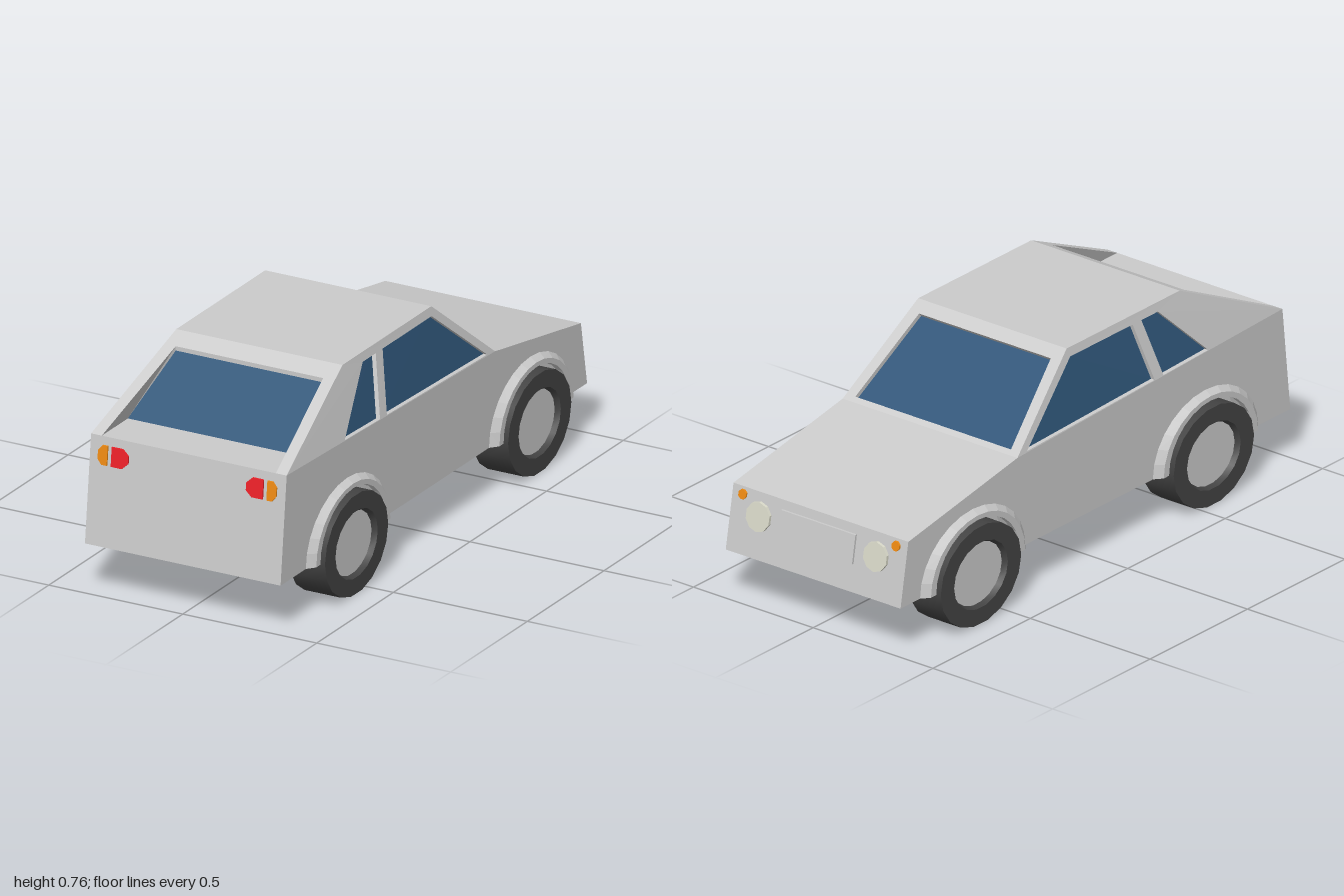
import * as THREE from 'three';
import { toCreasedNormals } from 'three/addons/utils/BufferGeometryUtils.js';

const GREY = 0xcccccc, GLASS = 0x2f5578, TYRE = 0x444444, RED = 0xee2028, AMBER = 0xee8a12, LAMP = 0xd8d8c8;
const BASE = 0.176, BELT_W = 0.365, ROOF_W = 0.31;
const ARCHES = [-0.63, 0.565];

const material = (color, side = THREE.DoubleSide) => new THREE.MeshStandardMaterial({ color, side, flatShading: true });

function add(group, name, geometry, color) {
  const mesh = new THREE.Mesh(geometry, material(color));
  mesh.name = name;
  group.add(mesh);
  return mesh;
}

// Flat outline with holes, placed in space by a rule (u, v) -> [x, y, z]
function panel(outline, holes, place) {
  const toV = (pts) => pts.map(([u, v]) => new THREE.Vector2(u, v));
  const shape = new THREE.Shape(toV(outline));
  for (const h of holes) shape.holes.push(new THREE.Path(toV(h)));
  const geo = new THREE.ShapeGeometry(shape);
  const p = geo.attributes.position;
  for (let i = 0; i < p.count; i++) p.setXYZ(i, ...place(p.getX(i), p.getY(i)));
  geo.computeVertexNormals();
  return geo;
}

// Skin stretched over a list of rings with equal point counts
function loft(rings, closed = false) {
  const n = rings[0].length, index = [];
  for (let r = 0; r < rings.length - 1; r++) {
    for (let i = 0; i < (closed ? n : n - 1); i++) {
      const a = r * n + i, b = r * n + (i + 1) % n;
      index.push(a, b, b + n, a, b + n, a + n);
    }
  }
  const geo = new THREE.BufferGeometry();
  geo.setAttribute('position', new THREE.Float32BufferAttribute(rings.flat(2), 3));
  geo.setIndex(index);
  geo.computeVertexNormals();
  return geo;
}

// Recessed pane with its reveal
function windowPane(group, name, hole, place, inset) {
  const sunk = (u, v) => place(u, v).map((c, i) => c + inset[i]);
  add(group, name + 'Reveal', loft([hole.map((p) => place(...p)), hole.map((p) => sunk(...p))], true), GREY);
  add(group, name + 'Glass', panel(hole, [], sunk), GLASS);
}

// Plate that follows a sloping end panel
function plate(group, name, pts, zAt, depth, color) {
  const shape = new THREE.Shape(pts.map(([x, y]) => new THREE.Vector2(x, y)));
  const geo = new THREE.ExtrudeGeometry(shape, { depth, bevelEnabled: false });
  const p = geo.attributes.position;
  for (let i = 0; i < p.count; i++) p.setZ(i, p.getZ(i) - depth / 2 + zAt(p.getY(i)));
  geo.computeVertexNormals();
  add(group, name, geo, color);
}

const disc = (cx, cy, r, n) => Array.from({ length: n }, (_, i) => {
  const a = (i + 0.5) / n * Math.PI * 2;
  return [cx + r * Math.cos(a), cy + r * Math.sin(a)];
});

// Half ellipse over a wheel, as [z, y]
const arch = (c, rz, ry, n = 14) => Array.from({ length: n + 1 }, (_, i) => {
  const a = Math.PI * (1 - i / n);
  return [c + rz * Math.cos(a), BASE + ry * Math.sin(a)];
});

function addSide(group, s) {
  const side = new THREE.Group();
  side.name = s > 0 ? 'leftSide' : 'rightSide';
  group.add(side);

  // Lower side with arch cut-outs
  const lower = [[-1, BASE], ...ARCHES.flatMap((c) => arch(c, 0.27, 0.224)),
    [1, BASE], [0.96, 0.547], [-0.4, 0.5], [-0.96, 0.4]];
  add(side, 'lowerSide', panel(lower, [], (z, y) => [s * BELT_W, y, z]), GREY);

  // Upper side leaning inwards, with two windows
  const belt = (z) => 0.5 + 0.047 * (z + 0.4) / 1.36;
  const lean = (z, y) => [s * (BELT_W - (BELT_W - ROOF_W) * (y - belt(z)) / (0.76 - belt(z))), y, z];
  const rearWin = [[0.58, 0.536], [0.38, 0.73], [0.295, 0.73], [0.35, 0.528]];
  const doorWin = [[0.305, 0.527], [0.25, 0.73], [-0.07, 0.73], [-0.35, 0.506]];
  add(side, 'upperSide', panel([[0.96, 0.547], [0.5, 0.76], [-0.08, 0.76], [-0.4, 0.5]], [rearWin, doorWin], lean), GREY);
  windowPane(side, 'rearSideWindow', rearWin, lean, [-s * 0.015, 0, 0]);
  windowPane(side, 'doorWindow', doorWin, lean, [-s * 0.015, 0, 0]);

  ARCHES.forEach((c, i) => {
    const end = i ? 'rear' : 'front';
    // Flared lip and wheel well
    const ring = (rz, ry, x) => arch(c, rz, ry).map(([z, y]) => [s * x, y, z]);
    add(side, end + 'Flare', loft([ring(0.27, 0.224, BELT_W), ring(0.242, 0.208, 0.388),
      ring(0.215, 0.192, 0.388), ring(0.215, 0.192, BELT_W)]), GREY);
    add(side, end + 'WheelWell', loft([ring(0.27, 0.224, BELT_W), ring(0.27, 0.224, 0.262)]), GREY);
    add(side, end + 'WellPlate', panel(arch(c, 0.27, 0.224), [], (z, y) => [s * 0.262, y, z]), GREY);

    // Wheel
    const wheel = new THREE.Group();
    wheel.name = end + 'Wheel';
    const profile = [[0.108, -0.0675], [0.175, -0.0675], [0.175, 0.0675], [0.117, 0.0675], [0.106, 0.045]];
    const tyre = new THREE.LatheGeometry(profile.map(([r, h]) => new THREE.Vector2(r, h)), 18);
    const tyreMesh = add(wheel, 'tyre', toCreasedNormals(tyre.rotateZ(-Math.PI / 2), 0.6), TYRE);
    tyreMesh.material.flatShading = false;
    add(wheel, 'rim', new THREE.CylinderGeometry(0.109, 0.109, 0.1, 18).rotateZ(-Math.PI / 2), GREY);
    wheel.scale.z = 1.18;
    wheel.position.set(s * 0.3325, 0.175, c);
    if (s < 0) wheel.rotation.y = Math.PI;
    side.add(wheel);
  });
}

export function createModel() {
  const car = new THREE.Group();
  car.name = 'car';

  // Full-width panels between two [halfWidth, y, z] edges
  const span = (name, color, ...edges) =>
    add(car, name, loft(edges.map(([w, y, z]) => [[-w, y, z], [w, y, z]])), color);
  span('rearPanel', GREY, [BELT_W, BASE, 1], [BELT_W, 0.547, 0.96]);
  span('roof', GREY, [ROOF_W, 0.76, 0.5], [ROOF_W, 0.76, -0.08]);
  span('bonnet', GREY, [BELT_W, 0.5, -0.4], [BELT_W, 0.4, -0.96]);
  span('frontPanel', GREY, [BELT_W, 0.4, -0.96], [BELT_W, BASE, -1]);

  // Rear pillars framing a sunken window and short deck
  const slope = (x, z) => [x, 0.547 + 0.213 * (0.96 - z) / 0.46, z];
  add(car, 'rearPillars', panel([[-0.365, 0.96], [-0.31, 0.5], [0.31, 0.5], [0.365, 0.96],
    [0.325, 0.96], [0.275, 0.565], [-0.275, 0.565], [-0.325, 0.96]], [], slope), GREY);
  span('rearWindowHeader', GREY, [0.275, 0.73, 0.565], [0.275, 0.715, 0.565]);
  span('rearWindowGlass', GLASS, [0.275, 0.715, 0.565], [0.325, 0.547, 0.79]);
  span('rearDeck', GREY, [0.325, 0.547, 0.79], [0.325, 0.547, 0.96]);
  for (const s of [-1, 1]) {
    add(car, 'pillarInnerWall', loft([
      [[s * 0.275, 0.73, 0.565], [s * 0.325, 0.547, 0.96]],
      [[s * 0.275, 0.715, 0.565], [s * 0.325, 0.547, 0.79]]]), GREY);
  }

  // Windscreen
  const screen = (x, t) => [x, 0.5 + 0.26 * t, -0.4 + 0.32 * t];
  const opening = [[-0.325, 0.05], [0.325, 0.05], [0.275, 0.88], [-0.275, 0.88]];
  add(car, 'windscreenFrame', panel([[-0.365, 0], [0.365, 0], [0.31, 1], [-0.31, 1]], [opening], screen), GREY);
  windowPane(car, 'windscreen', opening, screen, [0, -0.012, 0.01]);

  // Lamps and grille
  const rearZ = (y) => 1 - 0.04 * (y - BASE) / 0.371;
  const frontZ = (y) => -1 + 0.04 * (y - BASE) / 0.224;
  for (const s of [-1, 1]) {
    const flip = (pts) => pts.map(([x, y]) => [s * x, y]);
    addSide(car, s);
    plate(car, 'tailLamp', flip([[0.283, 0.452], [0.283, 0.518], [0.242, 0.518], [0.22, 0.498],
      [0.22, 0.472], [0.242, 0.452]]), rearZ, 0.012, RED);
    plate(car, 'rearIndicator', flip([[0.298, 0.452], [0.298, 0.518], [0.318, 0.518], [0.333, 0.5],
      [0.333, 0.47], [0.318, 0.452]]), rearZ, 0.012, AMBER);
    plate(car, 'headlamp', disc(s * 0.245, 0.32, 0.05, 10), frontZ, 0.02, LAMP);
    plate(car, 'frontIndicator', disc(s * 0.32, 0.375, 0.017, 8), frontZ, 0.014, AMBER);
  }
  plate(car, 'grille', [[-0.155, 0.27], [0.155, 0.27], [0.155, 0.368], [-0.155, 0.368]], frontZ, 0.016, GREY);
  return car;
}
